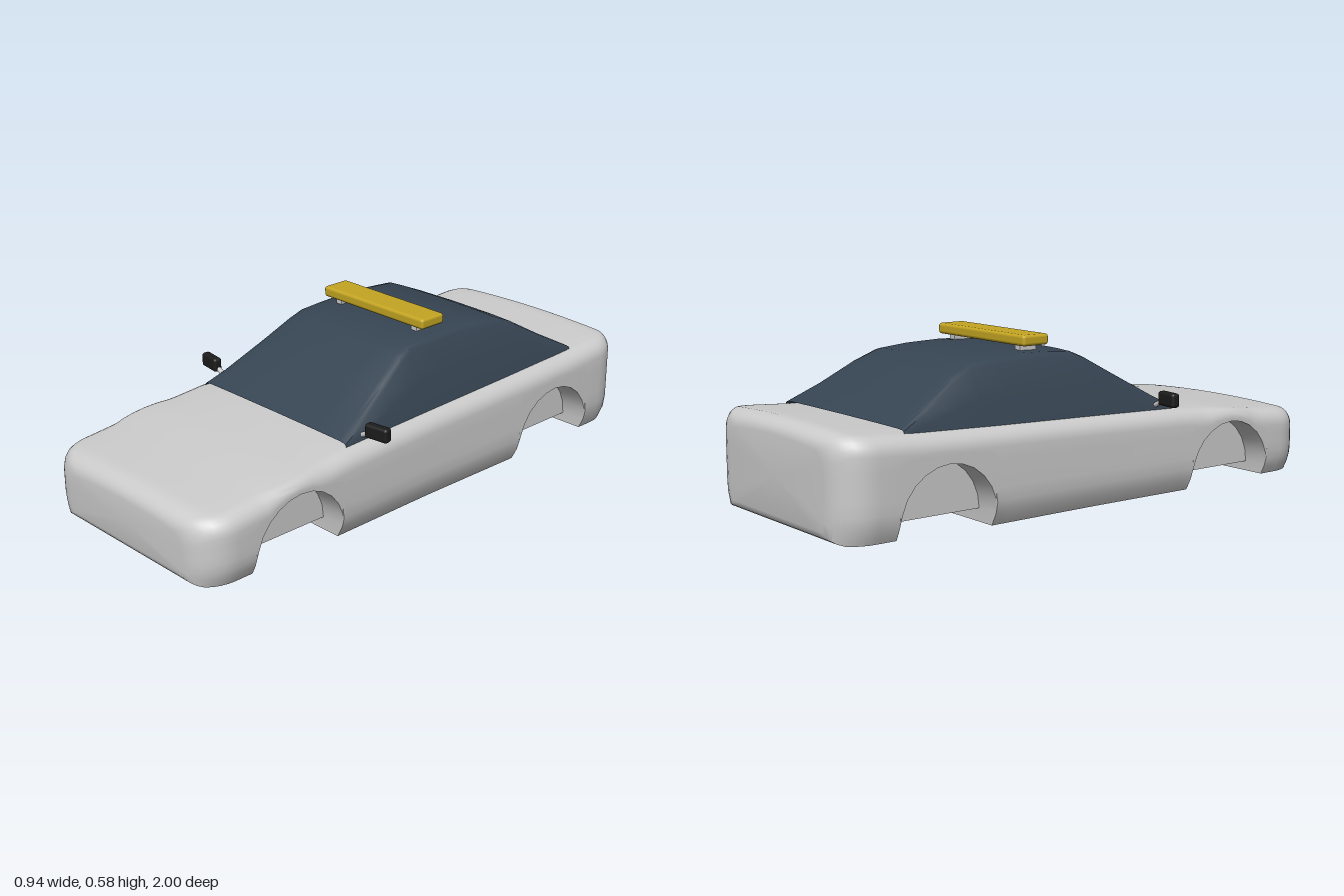
import * as THREE from 'three';
import { toCreasedNormals } from 'three/addons/utils/BufferGeometryUtils.js';
import { RoundedBoxGeometry } from 'three/addons/geometries/RoundedBoxGeometry.js';

const paint = (color, side = THREE.FrontSide) => new THREE.MeshStandardMaterial({ color, side });

// Linear interpolation through [z, value] pairs sorted from front to back
function along(table, z) {
  for (let i = 0; i < table.length - 1; i++) {
    const [z0, v0] = table[i], [z1, v1] = table[i + 1];
    if (z >= z1) return v0 + (v1 - v0) * Math.min(1, Math.max(0, (z0 - z) / (z0 - z1)));
  }
  return table[table.length - 1][1];
}

// Skin over mirrored half sections, ordered front to back, each running up from low to high
function loft(sections, closed, crease) {
  const pos = [], index = [];
  const loops = sections.map(({ z, half }) => {
    const other = half.slice(closed ? 1 : 0, -1).reverse().map(([x, y]) => [-x, y]);
    return [...half, ...other].map(([x, y]) => [x, y, z]);
  });
  const n = loops[0].length;
  loops.forEach((l) => l.forEach((p) => pos.push(...p)));
  for (let s = 0; s < loops.length - 1; s++) {
    for (let i = 0; i < (closed ? n : n - 1); i++) {
      const a = s * n + i, a1 = s * n + (i + 1) % n;
      index.push(a, a + n, a1, a1, a + n, a1 + n);
    }
  }
  if (closed) {
    // Flat end caps
    [0, loops.length - 1].forEach((s) => {
      const l = loops[s], c = pos.length / 3;
      pos.push(0, (l[0][1] + sections[s].half.at(-1)[1]) / 2, l[0][2]);
      for (let i = 0; i < n; i++) {
        const a = s * n + i, b = s * n + (i + 1) % n;
        index.push(...(s === 0 ? [c, a, b] : [c, b, a]));
      }
    });
  }
  const g = new THREE.BufferGeometry();
  g.setAttribute('position', new THREE.Float32BufferAttribute(pos, 3));
  g.setIndex(index);
  return toCreasedNormals(g, crease);
}

const DECK = [[1, 0.245], [0.93, 0.252], [0.8, 0.265], [0.6, 0.287], [0.375, 0.306],
  [0, 0.318], [-0.4, 0.329], [-0.7, 0.34], [-0.93, 0.355], [-1, 0.357]];
const WIDTH = [[1, 0.414], [0.7, 0.414], [0, 0.406], [-0.7, 0.414], [-1, 0.414]];
const ARCH = { z: 0.615, r: 0.185, y: 0.045 }, WELL = 0.31;

// Body half section: floor, wheel well, flank, shoulder, crowned deck
function bodySection(z, floor, archY) {
  const off = 1 - Math.abs(z);
  const round = (r) => {
    const u = Math.max(0, 1 - off / r);
    return 1 - Math.sqrt(Math.max(0, 1 - u * u));
  };
  const h = along(WIDTH, z) - 0.12 * round(0.13);
  const top = along(DECK, z) - 0.05 * round(0.065);
  const yb = floor + 0.035 * round(0.05);
  const ya = Math.max(yb, archY);
  const flank = (y) => h - 0.033 * Math.max(0, (0.1 - y) / 0.1) ** 2;
  const r = Math.min(0.06, (top - ya) * 0.65), drop = 0.01;
  const inner = Math.min(WELL, h * 0.8);
  const half = [[0, yb], [inner, yb], [inner, ya]];
  const yEnd = top - drop - r;
  for (let k = 0; k <= 6; k++) {
    const y = ya + (yEnd - ya) * k / 6;
    half.push([flank(y), y]);
  }
  for (let k = 1; k <= 6; k++) {
    const a = k / 6 * Math.PI / 2;
    half.push([h - r * (1 - Math.cos(a)), yEnd + r * Math.sin(a)]);
  }
  for (let k = 3; k >= 0; k--) half.push([(h - r) * k / 4, top - drop * (k / 4) ** 2]);
  return { z, half };
}

function bodyGeometry() {
  const sections = [];
  const ends = Array.from({ length: 9 }, (_, k) => 1 - 0.13 * (1 - Math.sin((1 - k / 8) * Math.PI / 2)));
  const offsets = ends.map((e) => 1 - e).sort((a, b) => a - b);
  const plain = (z, floor) => sections.push(bodySection(z, floor, 0));
  const arch = (zc) => {
    for (let k = 0; k <= 12; k++) {
      const a = k / 12 * Math.PI;
      sections.push(bodySection(zc + ARCH.r * Math.cos(a), ARCH.y, ARCH.y + ARCH.r * Math.sin(a)));
    }
  };
  const inside = ARCH.z - ARCH.r, outside = ARCH.z + ARCH.r;
  offsets.forEach((o) => plain(1 - o, 0.01));
  plain(outside, 0.01);
  arch(ARCH.z);
  [inside, 0.375, 0.2, 0, -0.2, -0.375, -inside].forEach((z) => plain(z, 0));
  arch(-ARCH.z);
  plain(-outside, 0.01);
  offsets.slice().reverse().forEach((o) => plain(o - 1, 0.01));
  return loft(sections, true, 0.65);
}

// Glasshouse: tapered sections under the roof line
function cabinGeometry() {
  const ROOF = [[0.375, 0.309], [0.3, 0.35], [0.15, 0.44], [0.05, 0.498], [0, 0.52], [-0.1, 0.527], [-0.2, 0.53],
    [-0.33, 0.526], [-0.44, 0.515], [-0.52, 0.48], [-0.64, 0.408], [-0.75, 0.345]];
  const sections = ROOF.map(([z, t]) => {
    const b = along(DECK, z) - 0.03, rise = t - b;
    const f = Math.min(1, rise / 0.12);
    const hw = 0.368 - rise * 0.4;
    return { z, half: [
      [0.366, b], [(0.366 + hw) / 2 + 0.006 * f, b + rise * 0.48], [hw + 0.003, t - 0.024 * f],
      [hw - 0.008, t - 0.012 * f], [hw - 0.03, t - 0.006 * f], [hw * 0.6, t - 0.002 * f], [0, t],
    ] };
  });
  return loft(sections, false, 0.6);
}

export function createModel() {
  const model = new THREE.Group();
  const add = (name, geometry, material, parent = model) => {
    const mesh = new THREE.Mesh(geometry, material);
    mesh.name = name;
    parent.add(mesh);
    return mesh;
  };
  const grey = paint(0xcccccc), black = paint(0x1c1c1c), gold = paint(0xc4a522);

  add('body', bodyGeometry(), grey);
  add('cabin', cabinGeometry(), paint(0x364452, THREE.DoubleSide));

  // Roof light bar on two feet
  add('lightBar', new RoundedBoxGeometry(0.492, 0.038, 0.108, 2, 0.011), gold).position.set(0, 0.562, -0.143);
  for (const s of [1, -1]) {
    add('lightBarFoot', new THREE.BoxGeometry(0.027, 0.04, 0.07), grey).position.set(s * 0.187, 0.53, -0.143);

    // Door mirror on a short stalk
    const mirror = new THREE.Group();
    mirror.name = s > 0 ? 'leftMirror' : 'rightMirror';
    const housing = add('mirrorHousing', new RoundedBoxGeometry(0.09, 0.05, 0.032, 2, 0.01), black, mirror);
    housing.position.set(s * 0.424, 0.342, 0.294);
    housing.rotation.y = s * 0.14;
    const stalk = add('mirrorStalk', new THREE.CylinderGeometry(0.009, 0.009, 0.06, 8), grey, mirror);
    stalk.position.set(s * 0.372, 0.322, 0.297);
    stalk.rotation.z = -s * 1.1;
    model.add(mirror);
  }
  return model;
}
